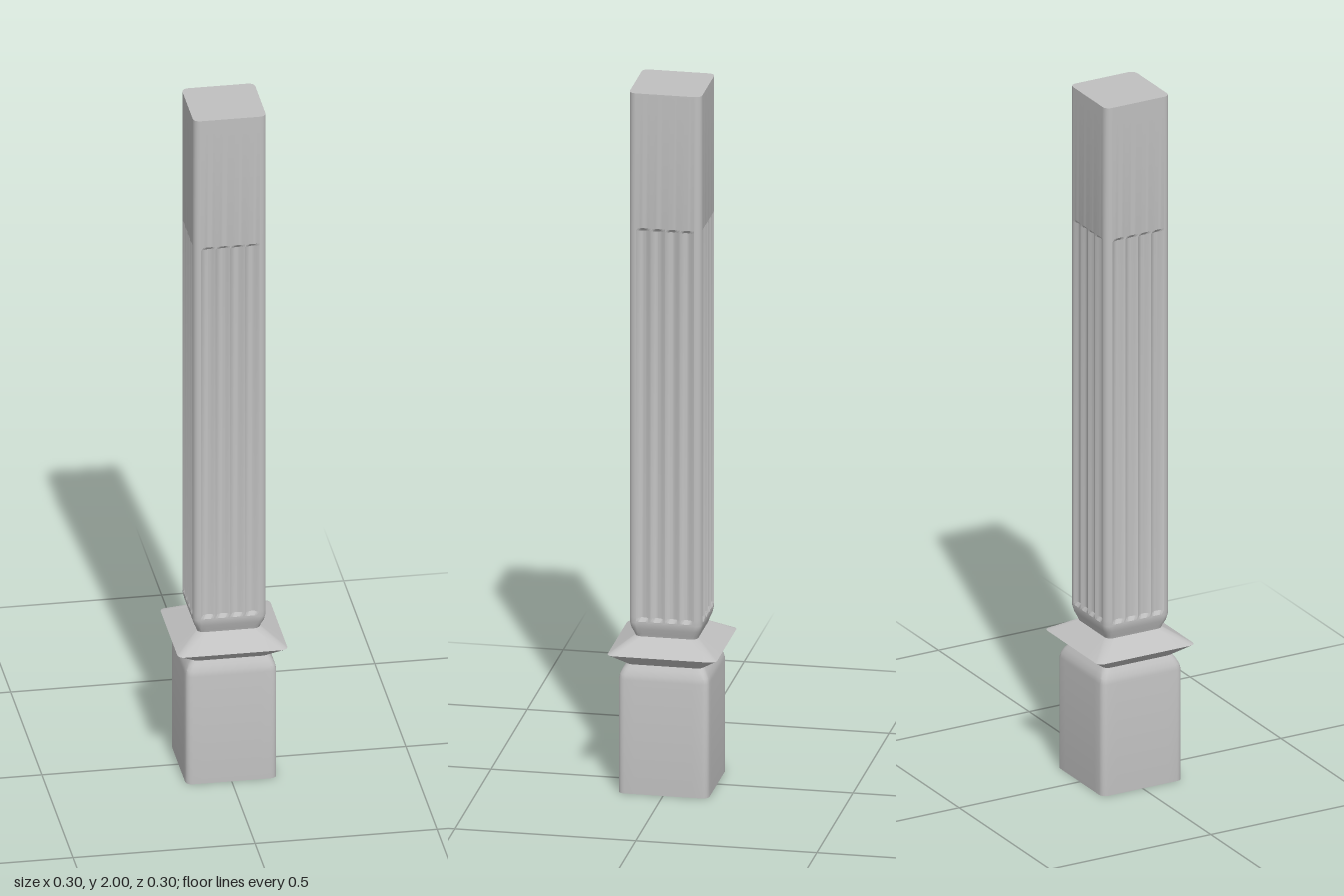
import * as THREE from 'three';
import { toCreasedNormals } from 'three/addons/utils/BufferGeometryUtils.js';

const CORNER = 0.018, CORNER_STEPS = 4;
const FLUTES = 4, FLUTE_STEPS = 6, FLUTE_SPAN = 0.16;

// Rounded square outline of half-width h, with flutes sunk into each side
function outline(h, depth) {
  const points = [];
  const flat = h - CORNER;
  const span = Math.min(FLUTE_SPAN, flat * 2 - 0.002);
  for (let side = 0; side < 4; side++) {
    const local = [];
    for (let i = 0; i <= FLUTES * FLUTE_STEPS; i++) {
      const t = i / FLUTE_STEPS;
      const dip = depth * Math.abs(Math.sin(Math.PI * t));
      local.push([h - dip, span * (t / FLUTES - 0.5)]);
    }
    for (let i = 0; i <= CORNER_STEPS; i++) {
      const a = (i / CORNER_STEPS) * Math.PI / 2;
      local.push([flat + CORNER * Math.cos(a), flat + CORNER * Math.sin(a)]);
    }
    const c = [1, 0, -1, 0][side], s = [0, 1, 0, -1][side];
    for (const [x, z] of local) points.push([x * c - z * s, x * s + z * c]);
  }
  return points;
}

// Closed loft through rows of [halfWidth, y, fluteDepth]
function loft(rows) {
  const positions = [], index = [];
  let n = 0;
  for (const [h, y, depth = 0] of rows) {
    const ring = outline(h, depth);
    n = ring.length;
    for (const [x, z] of ring) positions.push(x, y, z);
  }
  const last = (rows.length - 1) * n;
  const bottom = rows.length * n, top = bottom + 1;
  positions.push(0, rows[0][1], 0, 0, rows[rows.length - 1][1], 0);
  for (let i = 0; i < n; i++) {
    const j = (i + 1) % n;
    for (let r = 0; r < last; r += n) {
      index.push(r + i, r + n + i, r + j, r + j, r + n + i, r + n + j);
    }
    index.push(bottom, i, j, top, last + j, last + i);
  }
  const geometry = new THREE.BufferGeometry();
  geometry.setAttribute('position', new THREE.Float32BufferAttribute(positions, 3));
  geometry.setIndex(index);
  return toCreasedNormals(geometry, 0.5);
}

export function createModel() {
  const group = new THREE.Group();
  const stone = new THREE.MeshStandardMaterial({ color: 0xc0c0c0 });
  stone.name = 'light grey';

  const add = (name, rows) => {
    const mesh = new THREE.Mesh(loft(rows), stone);
    mesh.name = name;
    group.add(mesh);
  };

  // Square foot with softly rounded shoulders
  add('base', [[0.125, 0], [0.125, 0.325], [0.122, 0.339], [0.115, 0.353], [0.107, 0.365]]);

  // Flared collar with a sharp rim
  add('collar', [[0.105, 0.364], [0.151, 0.4], [0.085, 0.441]]);

  // Fluted shaft, plain at the top
  add('shaft', [
    [0.086, 0.438], [0.089, 0.448], [0.096, 0.464], [0.1, 0.482],
    [0.1, 0.486], [0.1, 0.497, 0.008],
    [0.1, 1.606, 0.008], [0.1, 1.615], [0.1, 2],
  ]);

  return group;
}
